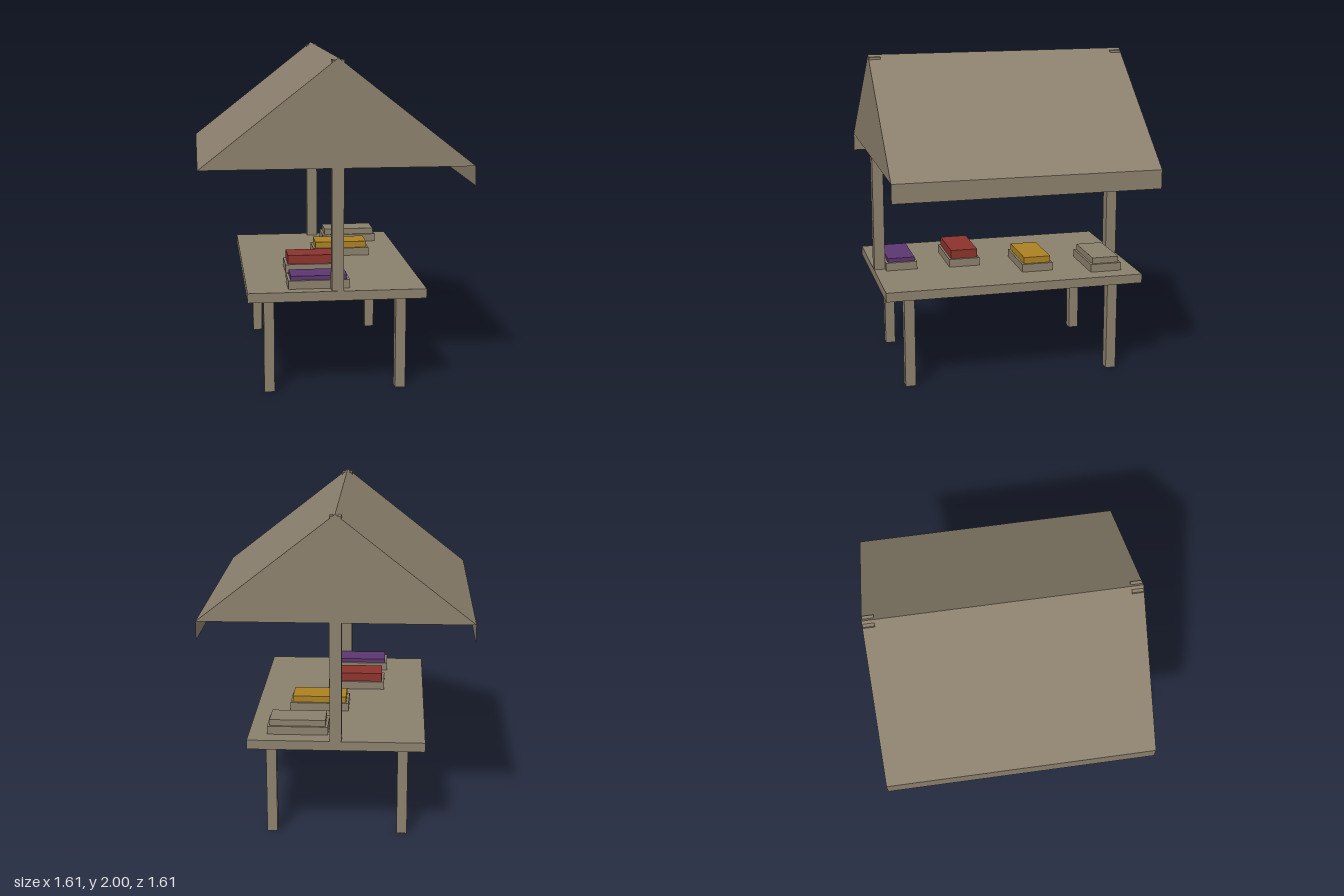
import * as THREE from 'three';

export function createModel() {
  const model = new THREE.Group();
  model.name = 'marketStall';

  const mat = (name, color, side = THREE.FrontSide) => {
    const m = new THREE.MeshStandardMaterial({ color, side });
    m.name = name;
    return m;
  };
  const wood = mat('weatheredWood', 0x8b806d, THREE.DoubleSide);
  const purple = mat('purpleGoods', 0x5c3770);
  const red = mat('redGoods', 0x8c332d);
  const yellow = mat('yellowGoods', 0xac8122);

  const add = (name, geometry, material, parent = model) => {
    const mesh = new THREE.Mesh(geometry, material);
    mesh.name = name;
    parent.add(mesh);
    return mesh;
  };
  // Box given by its extents on each axis
  const box = (name, [x0, x1], [y0, y1], [z0, z1], material, parent) => {
    const mesh = add(name, new THREE.BoxGeometry(x1 - x0, y1 - y0, z1 - z0), material, parent);
    mesh.position.set((x0 + x1) / 2, (y0 + y1) / 2, (z0 + z1) / 2);
    return mesh;
  };

  // Table top
  const halfDepth = 0.806;
  box('tableTop', [-0.528, 0.526], [0.588, 0.645], [-halfDepth, halfDepth], wood);

  // Four legs, hollow with open ends
  for (const x of [-0.397, 0.395]) {
    for (const z of [-0.648, 0.65]) {
      const leg = box('leg', [x - 0.031, x + 0.031], [0, 0.588], [z - 0.032, z + 0.032], wood);
      const index = Array.from(leg.geometry.index.array);
      index.splice(12, 12);
      leg.geometry.setIndex(index);
      leg.geometry.clearGroups();
    }
  }

  // Two posts that poke through the ridge
  for (const s of [-1, 1]) {
    const z = s * 0.769;
    box('post', [-0.035, 0.035], [0.645, 1.988], [z - 0.034, z + 0.034], wood);
  }

  // Thin roof: two slopes with a hanging valance along each eave
  const roof = new THREE.Group();
  roof.name = 'roof';
  model.add(roof);
  const eave = 0.804;
  const profile = [[-eave, 1.255], [-eave, 1.37], [0, 2], [eave, 1.37], [eave, 1.255]];
  const panelNames = ['rightValance', 'rightSlope', 'leftSlope', 'leftValance'];
  panelNames.forEach((name, i) => {
    const [ax, ay] = profile[i];
    const [bx, by] = profile[i + 1];
    const g = new THREE.BufferGeometry();
    g.setAttribute('position', new THREE.Float32BufferAttribute([
      ax, ay, halfDepth, bx, by, halfDepth, bx, by, -halfDepth, ax, ay, -halfDepth,
    ], 3));
    g.setIndex([0, 1, 2, 0, 2, 3]);
    g.computeVertexNormals();
    // Face outward
    if (g.attributes.normal.getX(0) * (ax + bx) < 0) {
      g.setIndex([0, 2, 1, 0, 3, 2]);
      g.computeVertexNormals();
    }
    add(name, g, wood, roof);
  });

  // Gable ends
  const triangle = new THREE.Shape([
    new THREE.Vector2(-eave, 1.37), new THREE.Vector2(eave, 1.37), new THREE.Vector2(0, 2),
  ]);
  for (const s of [-1, 1]) {
    const gable = add('gable', new THREE.ShapeGeometry(triangle), wood, roof);
    gable.position.z = s * halfDepth;
    if (s < 0) gable.rotation.y = Math.PI;
  }

  // Trays with goods: centre x, centre z, top of goods, material
  const goods = [
    [-0.103, 0.636, 0.72, purple],
    [-0.088, 0.233, 0.75, red],
    [0.128, -0.19, 0.735, yellow],
    [0.233, -0.607, 0.733, wood],
  ];
  for (const [x, z, top, material] of goods) {
    const stack = new THREE.Group();
    stack.name = 'displayTray';
    model.add(stack);
    box('tray', [x - 0.182, x + 0.182], [0.645, 0.695], [z - 0.099, z + 0.099], wood, stack);
    box('goods', [x - 0.167, x + 0.167], [0.695, top], [z - 0.085, z + 0.085], material, stack);
  }

  return model;
}
